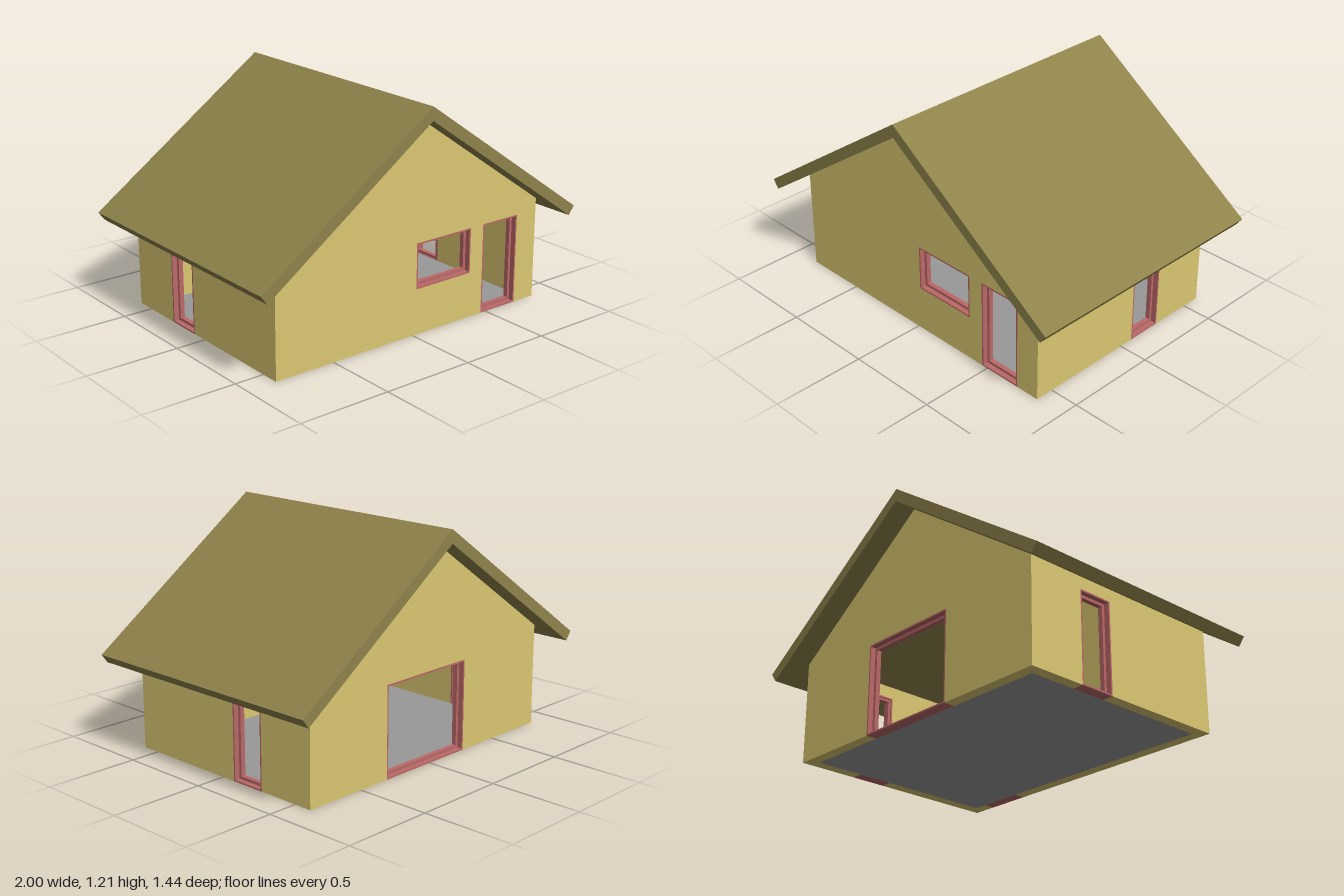
import * as THREE from 'three';

const WALL = 0.06;                      // wall thickness
const HX = 0.84, HZ = 0.6;              // half width and half depth of the house
const EAVE = 0.547, RIDGE = 1.135;      // wall heights

const mat = (color) => new THREE.MeshStandardMaterial({ color, flatShading: true });

function polygon(points) {
  return new THREE.Shape(points.map(([x, y]) => new THREE.Vector2(x, y)));
}

function extrude(name, shape, depth, z, material) {
  const geometry = new THREE.ExtrudeGeometry(shape, { depth, bevelEnabled: false });
  geometry.translate(0, 0, z);
  const mesh = new THREE.Mesh(geometry, material);
  mesh.name = name;
  return mesh;
}

const rect = ({ x0, x1, y0, y1 }, inset = 0) => [
  [x0 + inset, y0 + inset], [x1 - inset, y0 + inset],
  [x1 - inset, y1 - inset], [x0 + inset, y1 - inset],
];

function ring(opening, width) {
  const shape = polygon(rect(opening));
  shape.holes.push(polygon(rect(opening, width).reverse()));
  return shape;
}

// Wall with its outer face at local z = 0; openings on the ground become notches
function makeWall(name, halfWidth, gable, openings, wallMat, frameMat) {
  const group = new THREE.Group();
  group.name = name;
  const outline = [[-halfWidth, 0]];
  const holes = [];
  for (const o of openings) {
    if (o.y0 === 0) outline.push([o.x0, 0], [o.x0, o.y1], [o.x1, o.y1], [o.x1, 0]);
    else holes.push(polygon(rect(o).reverse()));
  }
  outline.push([halfWidth, 0], [halfWidth, EAVE]);
  if (gable) outline.push([0, RIDGE]);
  outline.push([-halfWidth, EAVE]);
  const shape = polygon(outline);
  shape.holes.push(...holes);
  group.add(extrude(name + 'Panel', shape, WALL, -WALL, wallMat));

  // Thin lining around each opening and a wider recessed frame
  for (const o of openings) {
    group.add(extrude(o.name + 'Lining', ring(o, 0.008), WALL, -WALL, frameMat));
    group.add(extrude(o.name + 'Frame', ring(o, 0.023), 0.025, -0.053, frameMat));
  }
  return group;
}

export function createModel() {
  const house = new THREE.Group();
  house.name = 'house';
  const wallMat = mat(0xdcc972);
  const roofMat = mat(0x8f834b);
  const frameMat = mat(0xbb6868);
  const floorMat = mat(0x999999);

  // Gable walls and side walls with their openings
  const front = makeWall('frontWall', HX, true, [
    { name: 'frontWindow', x0: 0.02, x1: 0.38, y0: 0.243, y1: 0.485 },
    { name: 'frontDoor', x0: 0.465, x1: 0.705, y0: 0, y1: 0.485 },
  ], wallMat, frameMat);
  front.position.z = HZ;

  const back = makeWall('backWall', HX, true, [
    { name: 'backWindow', x0: -0.317, x1: 0.26, y0: 0, y1: 0.482 },
  ], wallMat, frameMat);
  back.position.z = -HZ;
  back.rotation.y = Math.PI;

  const left = makeWall('leftWall', HZ - WALL, false, [
    { name: 'leftDoor', x0: 0.08, x1: 0.275, y0: 0, y1: 0.482 },
  ], wallMat, frameMat);
  left.position.x = HX;
  left.rotation.y = Math.PI / 2;

  const right = makeWall('rightWall', HZ - WALL, false, [
    { name: 'rightDoor', x0: -0.284, x1: -0.088, y0: 0, y1: 0.482 },
  ], wallMat, frameMat);
  right.position.x = -HX;
  right.rotation.y = -Math.PI / 2;

  house.add(front, back, left, right);

  // Floor inside the walls
  const floor = new THREE.Mesh(
    new THREE.BoxGeometry(2 * (HX - WALL), 0.006, 2 * (HZ - WALL)), floorMat);
  floor.name = 'floor';
  floor.position.y = 0.003;
  house.add(floor);

  // Pitched roof with square-cut eaves
  house.add(extrude('roof', polygon([
    [1, 0.505], [0, 1.205], [-1, 0.505], [-0.966, 0.459], [0, RIDGE], [0.966, 0.459],
  ]), 1.44, -0.72, roofMat));

  return house;
}
